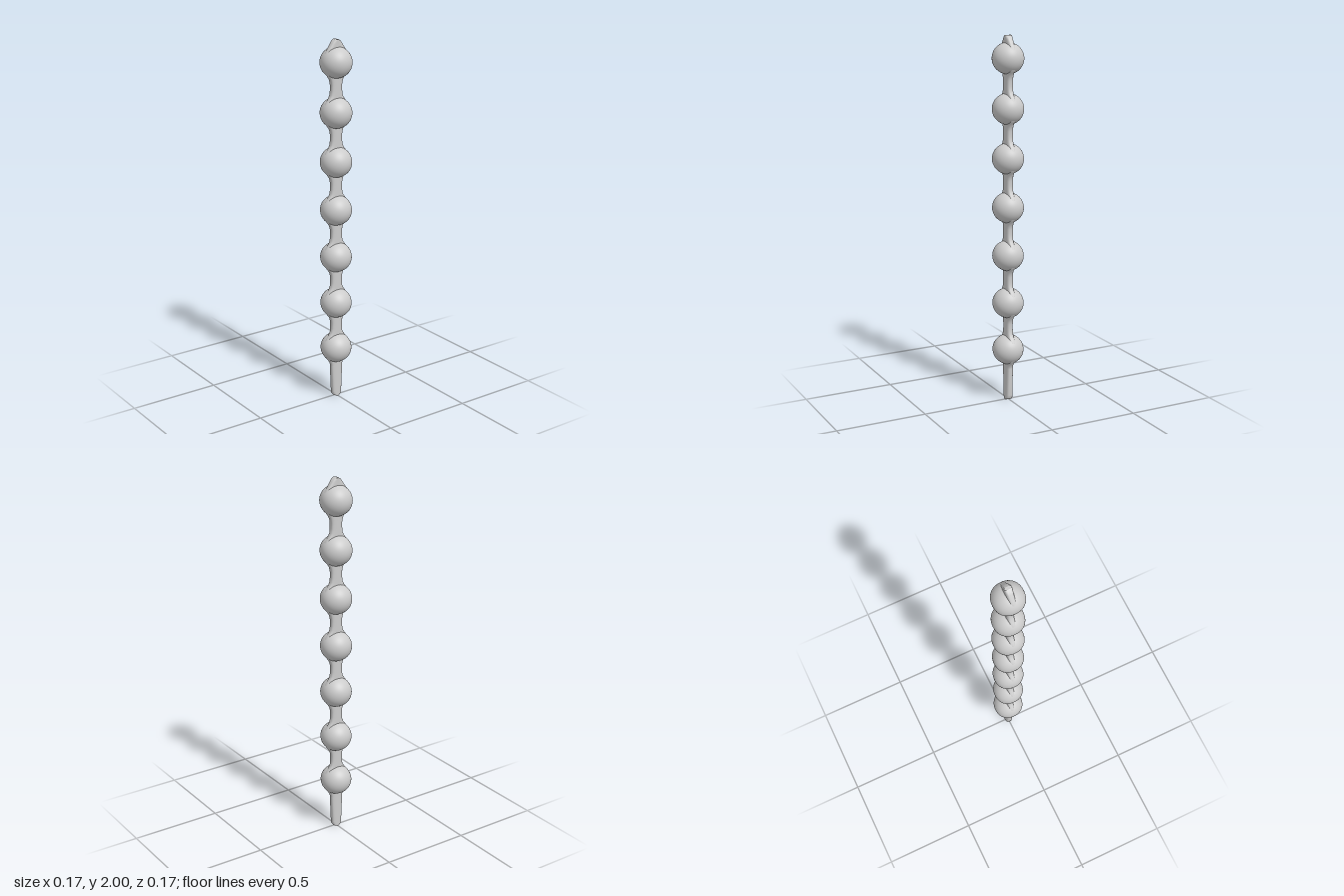
import * as THREE from 'three';

const BEADS = 7, FIRST = 0.29, STEP = 0.265, RADIUS = 0.083;
const HALF_THICK = 0.02, HALF_WIDTH = 0.033;

const power = (v, p) => Math.sign(v) * Math.pow(Math.abs(v), p);

// Half width of the strap in z, as [y, width] points from bottom to top
function strapProfile() {
  const points = [[0, 0.008], [0.004, 0.019], [0.013, 0.026], [0.03, 0.029], [0.12, 0.033], [0.185, 0.036]];
  for (let i = 0; i < BEADS; i++) {
    const y = FIRST + i * STEP;
    // flare into the bead from below
    points.push([y - 0.1, 0.036], [y - 0.085, 0.041], [y - 0.072, 0.05], [y - 0.058, 0.061], [y - 0.03, 0.074]);
    // flare out of the bead above
    points.push([y + 0.03, 0.076], [y + 0.05, 0.067]);
    if (i < BEADS - 1) points.push([y + 0.066, 0.055], [y + 0.08, 0.044], [y + 0.097, 0.036], [y + 0.12, HALF_WIDTH], [y + 0.15, HALF_WIDTH]);
  }
  // rounded tip
  points.push([1.948, 0.054], [1.965, 0.042], [1.98, 0.032], [1.992, 0.022], [2, 0.008]);
  return points.filter((p, i) => i === 0 || p[0] > points[i - 1][0] + 0.001);
}

// Flat strap with rounded edges, lofted through the profile
function strapGeometry() {
  const profile = strapProfile();
  const rows = profile.length - 1;
  const geometry = new THREE.CylinderGeometry(1, 1, 1, 32, rows);
  const pos = geometry.attributes.position;
  for (let i = 0; i < pos.count; i++) {
    const [y, width] = profile[Math.round((pos.getY(i) + 0.5) * rows)];
    pos.setXYZ(i, HALF_THICK * power(pos.getX(i), 0.55), y, width * power(pos.getZ(i), 0.85));
  }
  geometry.computeVertexNormals();
  return geometry;
}

// Ball with a very slightly squared plan
function beadGeometry() {
  const geometry = new THREE.SphereGeometry(RADIUS, 48, 32);
  const pos = geometry.attributes.position;
  const p = 2.2;
  for (let i = 0; i < pos.count; i++) {
    const x = pos.getX(i), z = pos.getZ(i);
    const round = Math.hypot(x, z);
    if (round < 1e-6) continue;
    const square = Math.pow(Math.abs(x) ** p + Math.abs(z) ** p, 1 / p);
    pos.setX(i, x * round / square);
    pos.setZ(i, z * round / square);
  }
  return geometry; // the ball's own normals keep its seam smooth
}

export function createModel() {
  const model = new THREE.Group();
  model.name = 'beadedRod';
  const material = new THREE.MeshStandardMaterial({ color: 0xcccccc });

  const strap = new THREE.Mesh(strapGeometry(), material);
  strap.name = 'strap';
  model.add(strap);

  const ball = beadGeometry();
  for (let i = 0; i < BEADS; i++) {
    const bead = new THREE.Mesh(ball, material);
    bead.name = `bead${i + 1}`;
    bead.position.y = FIRST + i * STEP;
    model.add(bead);
  }
  return model;
}
